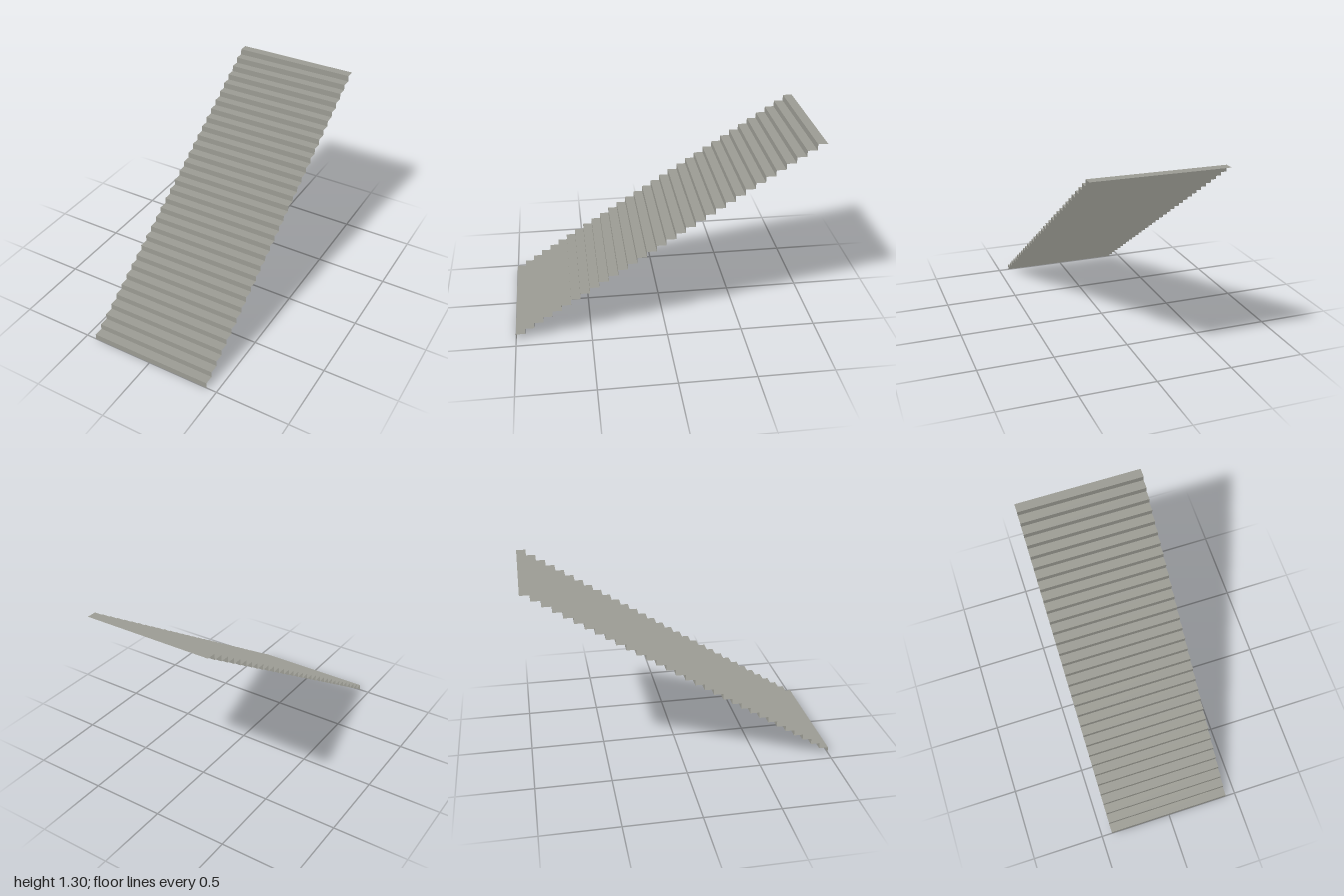
import * as THREE from 'three';

const STEPS = 32, WIDTH = 0.856, HEIGHT = 1.3, DEPTH = 2;

export function createModel() {
  const group = new THREE.Group();
  group.name = 'staircase';
  const concrete = new THREE.MeshStandardMaterial({ color: 0x9c9c94, side: THREE.DoubleSide });
  concrete.name = 'grey concrete';

  const rise = HEIGHT / STEPS, run = DEPTH / STEPS;
  const riserGeometry = new THREE.PlaneGeometry(WIDTH, rise);
  const treadGeometry = new THREE.PlaneGeometry(WIDTH, run).rotateX(-Math.PI / 2);

  // Each step is a thin riser facing the front and a thin tread behind it
  for (let i = 0; i < STEPS; i++) {
    const front = DEPTH / 2 - i * run;
    const riser = new THREE.Mesh(riserGeometry, concrete);
    riser.name = `riser${i + 1}`;
    riser.position.set(0, (i + 0.5) * rise, front);

    const tread = new THREE.Mesh(treadGeometry, concrete);
    tread.name = `tread${i + 1}`;
    tread.position.set(0, (i + 1) * rise, front - run / 2);
    group.add(riser, tread);
  }
  return group;
}
